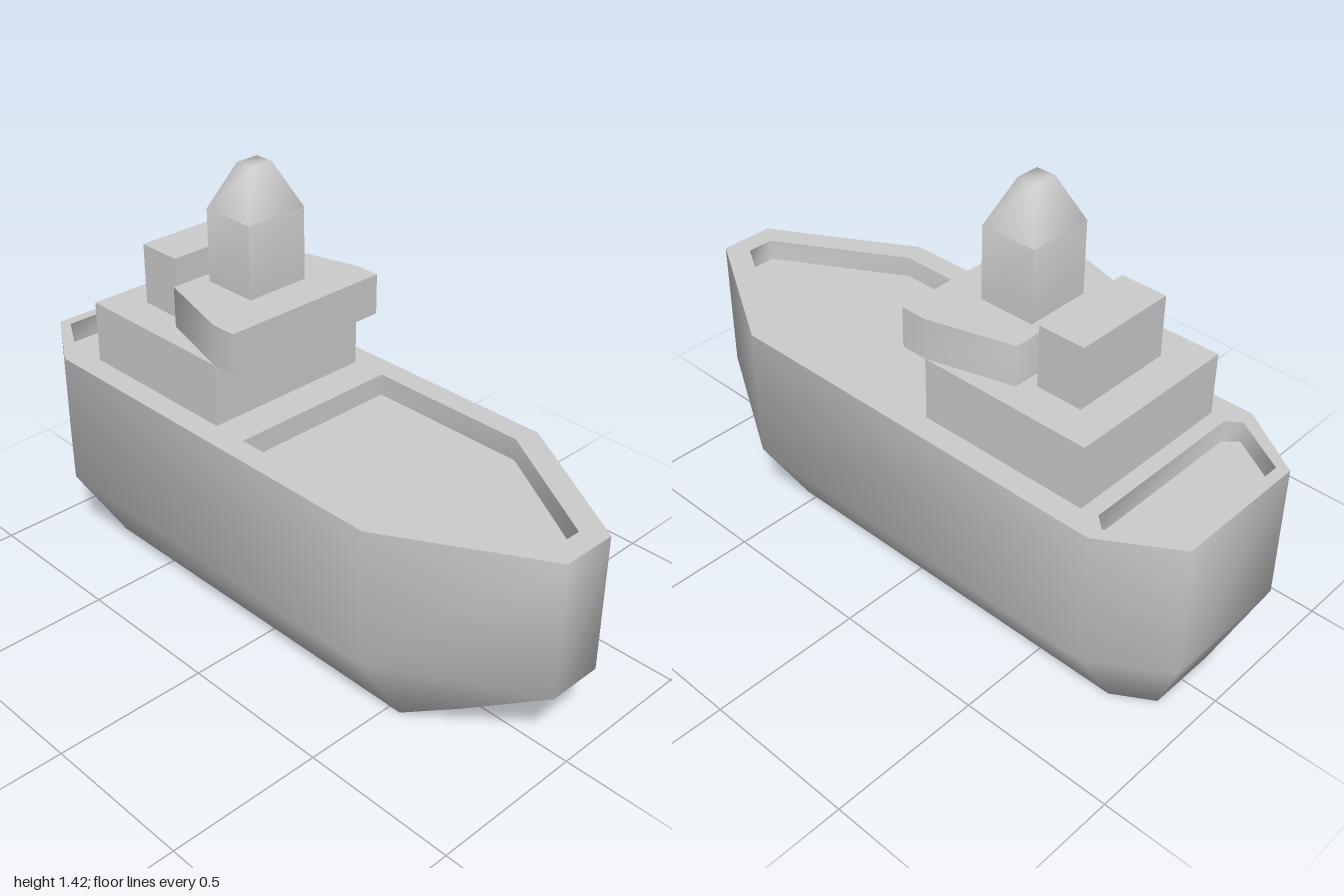
import * as THREE from 'three';
import { toCreasedNormals } from 'three/addons/utils/BufferGeometryUtils.js';

const material = new THREE.MeshStandardMaterial({ color: 0xcccccc });
const DECK = 0.72;

// Full outline from its +x half, listed bow to stern as [x, z]
const mirror = (half) => [...half, ...half.map(([x, z]) => [-x, z]).reverse()];

// Skin between stacked outlines; levels = [[y, outline], ...]. Descending levels face inward.
function loft(levels, startCap, endCap) {
  const pos = [];
  const put = (l, ...ids) => ids.forEach((i) => {
    const [y, ring] = levels[l];
    pos.push(ring[i][0], y, ring[i][1]);
  });
  const n = levels[0][1].length;
  for (let l = 0; l < levels.length - 1; l++) {
    for (let i = 0; i < n; i++) {
      const j = (i + 1) % n;
      put(l, i, j); put(l + 1, j);
      put(l, i); put(l + 1, j, i);
    }
  }
  for (let i = 1; i < n - 1; i++) {
    if (startCap) put(0, 0, i + 1, i);
    if (endCap) put(levels.length - 1, 0, i, i + 1);
  }
  const g = new THREE.BufferGeometry();
  g.setAttribute('position', new THREE.Float32BufferAttribute(pos, 3));
  return toCreasedNormals(g, 1.45);
}

export function createModel() {
  const ship = new THREE.Group();
  ship.name = 'ship';
  const add = (name, geometry) => {
    const mesh = new THREE.Mesh(geometry, material);
    mesh.name = name;
    ship.add(mesh);
    return mesh;
  };
  const box = (name, halfW, y0, y1, z0, z1) =>
    add(name, new THREE.BoxGeometry(halfW * 2, y1 - y0, z1 - z0))
      .position.set(0, (y0 + y1) / 2, (z0 + z1) / 2);

  // Hull: straight sides above a narrowing keel
  const rail = mirror([[0.09, 1], [0.36, 0.54], [0.36, -0.78], [0.22, -1]]);
  const keel = mirror([[0.05, 0.65], [0.19, 0.54], [0.19, -0.76], [0.115, -0.88]]);
  add('hull', loft([[0, keel], [0.28, rail], [DECK, rail]], true, false));

  // Deck with two sunken wells
  const wells = {
    bowWell: mirror([[0.045, 0.93], [0.285, 0.52], [0.285, -0.015]]),
    sternWell: mirror([[0.275, -0.745], [0.31, -0.785], [0.205, -0.965]]),
  };
  const points = (ring) => ring.map(([x, z]) => new THREE.Vector2(x, -z));
  const deck = new THREE.Shape(points(rail));
  for (const [name, ring] of Object.entries(wells)) {
    deck.holes.push(new THREE.Path(points(ring)));
    add(name, loft([[DECK, ring], [DECK - 0.07, ring]], false, true));
  }
  add('deck', new THREE.ShapeGeometry(deck).rotateX(-Math.PI / 2)).position.y = DECK;

  // Superstructure
  box('cabin', 0.285, DECK, 0.92, -0.695, -0.13);
  box('rearHouse', 0.17, 0.92, 1.115, -0.585, -0.435);
  const bridge = mirror([[0.285, -0.045], [0.285, -0.13], [0.21, -0.395]]);
  add('bridge', loft([[0.92, bridge], [1.05, bridge]], true, true));

  // Tower with a tapered top
  const base = mirror([[0.107, -0.172], [0.107, -0.355]]);
  const tip = mirror([[0.038, -0.232], [0.038, -0.295]]);
  add('tower', loft([[1.05, base], [1.28, base], [1.42, tip]], false, true));

  return ship;
}
